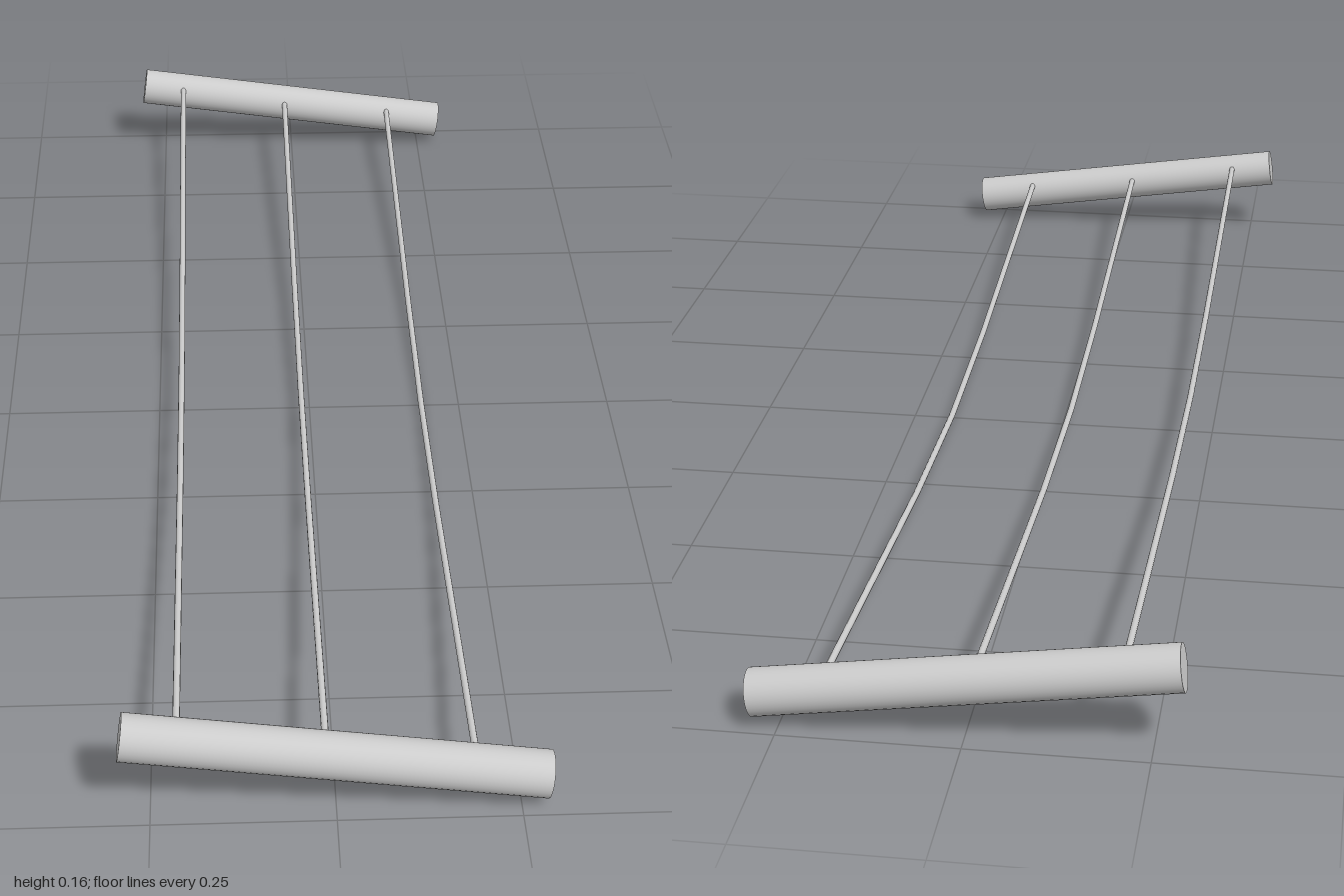
import * as THREE from 'three';

const material = new THREE.MeshStandardMaterial({ color: 0xcccccc });

// Thin rod running along z, sagging in four straight segments
function makeRod(x, lowY) {
  const stations = [[-0.955, 0.071], [-0.32, 0.014], [0, 0], [0.32, 0.014], [0.955, 0.071]];
  const geo = new THREE.CylinderGeometry(0.005, 0.005, 4, 12, 4).rotateX(Math.PI / 2);
  const pos = geo.attributes.position;
  for (let i = 0; i < pos.count; i++) {
    const [z, rise] = stations[Math.round(pos.getZ(i)) + 2];
    pos.setY(i, pos.getY(i) + rise);
    pos.setZ(i, z);
  }
  const rod = new THREE.Mesh(geo, material);
  rod.position.set(x, lowY, 0);
  return rod;
}

export function createModel() {
  const group = new THREE.Group();

  // Tilted round bars at the front and back
  for (const [name, side] of [['frontBar', 1], ['backBar', -1]]) {
    const bar = new THREE.Mesh(new THREE.CylinderGeometry(0.033, 0.033, 0.581, 32), material);
    bar.name = name;
    bar.rotation.z = Math.PI / 2 - 0.1434;
    bar.position.set(0, 0.086, side * 0.967);
    group.add(bar);
  }

  // Three sagging rods linking the bars
  const rods = [['rightRod', -0.212, 0.061], ['middleRod', -0.014, 0.028], ['leftRod', 0.187, 0.006]];
  for (const [name, x, y] of rods) {
    const rod = makeRod(x, y);
    rod.name = name;
    group.add(rod);
  }
  return group;
}
